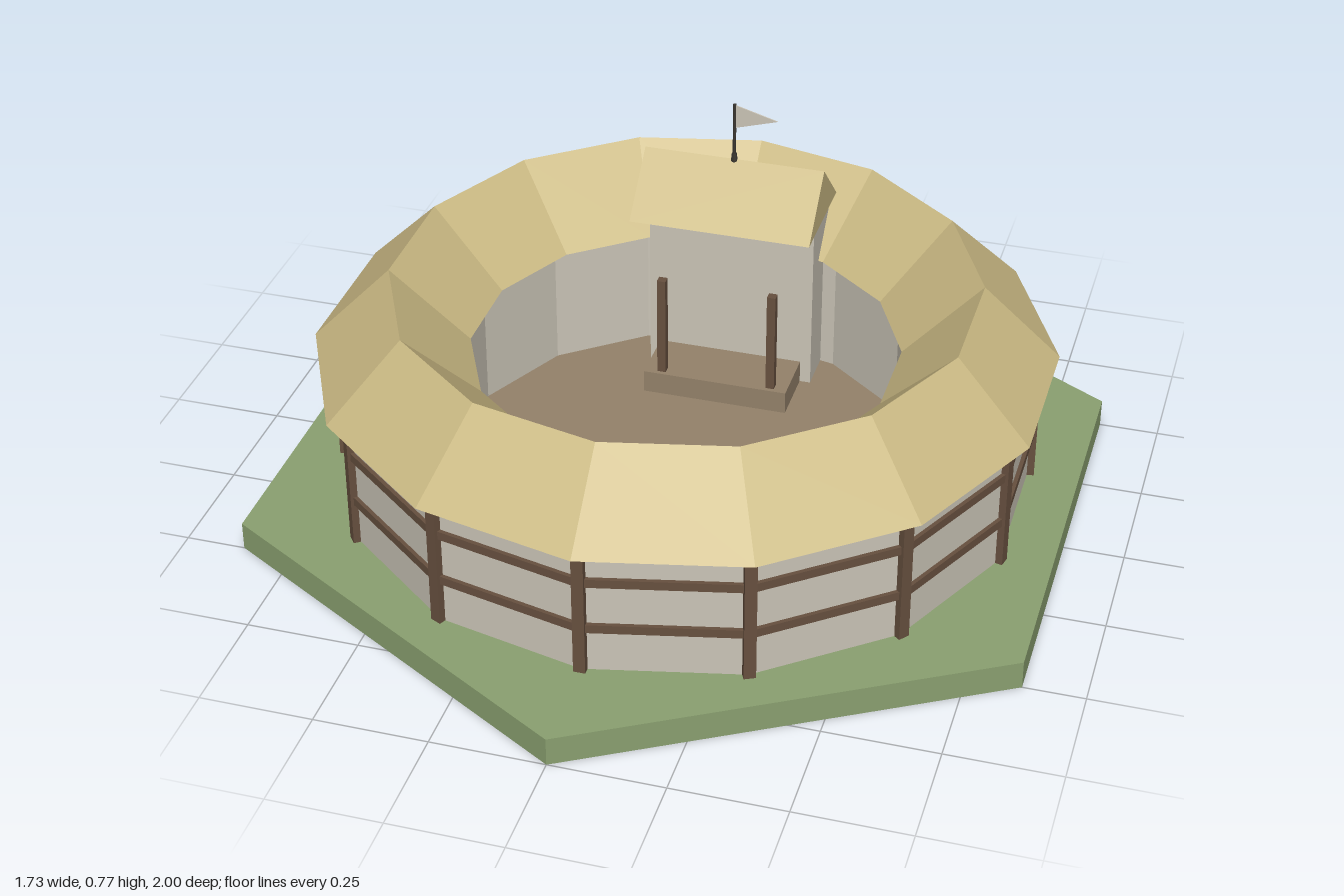
import * as THREE from 'three';

const SIDES = 14, STEP = (Math.PI * 2) / SIDES;
const GROUND = 0.065, EAVE = 0.375, WALL_R = 0.77, YARD_R = 0.525;

export function createModel() {
  const material = (name, color) => {
    const m = new THREE.MeshStandardMaterial({ color });
    m.name = name;
    return m;
  };
  const grass = material('grass', 0x8aa070);
  const plaster = material('plaster', 0xcbc5b7);
  const thatch = material('thatch', 0xcbba84);
  const timber = material('timber', 0x67503f);
  const earth = material('earth', 0x94826a);
  const iron = material('iron', 0x3a3630);

  const model = new THREE.Group();
  model.name = 'roundTheatre';

  // Facets every geometry so that all edges stay sharp
  function add(name, geometry, mat, x = 0, y = 0, z = 0, parent = model) {
    const g = geometry.index ? geometry.toNonIndexed() : geometry;
    g.computeVertexNormals();
    const mesh = new THREE.Mesh(g, mat);
    mesh.name = name;
    mesh.position.set(x, y, z);
    parent.add(mesh);
    return mesh;
  }
  const box = (w, h, d) => new THREE.BoxGeometry(w, h, d);
  const ring = (points) =>
    new THREE.LatheGeometry(points.map(([r, y]) => new THREE.Vector2(r, y)), SIDES);

  // Hexagonal lawn and yard floor
  add('lawn', new THREE.CylinderGeometry(1, 1, GROUND, 6), grass, 0, GROUND / 2);
  add('yardFloor', new THREE.CylinderGeometry(YARD_R, YARD_R, 0.006, SIDES), earth, 0, GROUND + 0.003);

  // Gallery walls and ridged ring roof with its soffit
  add('outerWall', ring([[WALL_R, GROUND], [WALL_R, EAVE]]), plaster);
  add('innerWall', ring([[YARD_R, EAVE], [YARD_R, GROUND]]), plaster);
  add('ringRoof', ring([[0.82, EAVE], [0.648, 0.547], [0.475, EAVE], [0.82, EAVE]]), thatch);

  // Timber frame: a post at each corner, two rails on each side
  const frame = new THREE.Group();
  frame.name = 'timberFrame';
  model.add(frame);
  const wallHeight = EAVE - GROUND;
  const apothem = WALL_R * Math.cos(STEP / 2);
  const sideLength = 2 * WALL_R * Math.sin(STEP / 2);
  for (let i = 0; i < SIDES; i++) {
    const a = i * STEP, b = a + STEP / 2;
    add('post', box(0.026, wallHeight, 0.026), timber,
      Math.sin(a) * WALL_R, GROUND + wallHeight / 2, Math.cos(a) * WALL_R, frame).rotation.y = a;
    for (const y of [0.175, 0.29]) {
      add('rail', box(sideLength, 0.02, 0.018), timber,
        Math.sin(b) * apothem, y, Math.cos(b) * apothem, frame).rotation.y = b;
    }
  }

  // Stage house with platform and two pillars
  add('stageHouse', box(0.39, 0.44, 0.14), plaster, 0, GROUND + 0.22, -0.45);
  add('stagePlatform', box(0.34, 0.06, 0.14), earth, 0, GROUND + 0.03, -0.31);
  for (const side of [-1, 1]) {
    add('stagePillar', box(0.02, 0.245, 0.02), timber, side * 0.13, 0.2475, -0.26);
  }

  // Gable roof, ridge along x
  const gable = new THREE.Shape([
    new THREE.Vector2(-0.13, 0.505), new THREE.Vector2(0.13, 0.505), new THREE.Vector2(0, 0.63),
  ]);
  const gableRoof = new THREE.ExtrudeGeometry(gable, { depth: 0.42, bevelEnabled: false });
  gableRoof.translate(0, 0, -0.21).rotateY(Math.PI / 2);
  add('stageRoof', gableRoof, thatch, 0, 0, -0.4);

  // Flagpole and pennant
  add('flagpole', new THREE.CylinderGeometry(0.004, 0.004, 0.15, 6), iron, 0, 0.695, -0.4);
  add('poleFoot', new THREE.CylinderGeometry(0.006, 0.008, 0.02, 6), iron, 0, 0.635, -0.4);
  const pennant = new THREE.Shape([
    new THREE.Vector2(0, 0.71), new THREE.Vector2(0.1, 0.74), new THREE.Vector2(0, 0.768),
  ]);
  add('pennant', new THREE.ExtrudeGeometry(pennant, { depth: 0.003, bevelEnabled: false }),
    plaster, 0, 0, -0.4015);

  return model;
}
